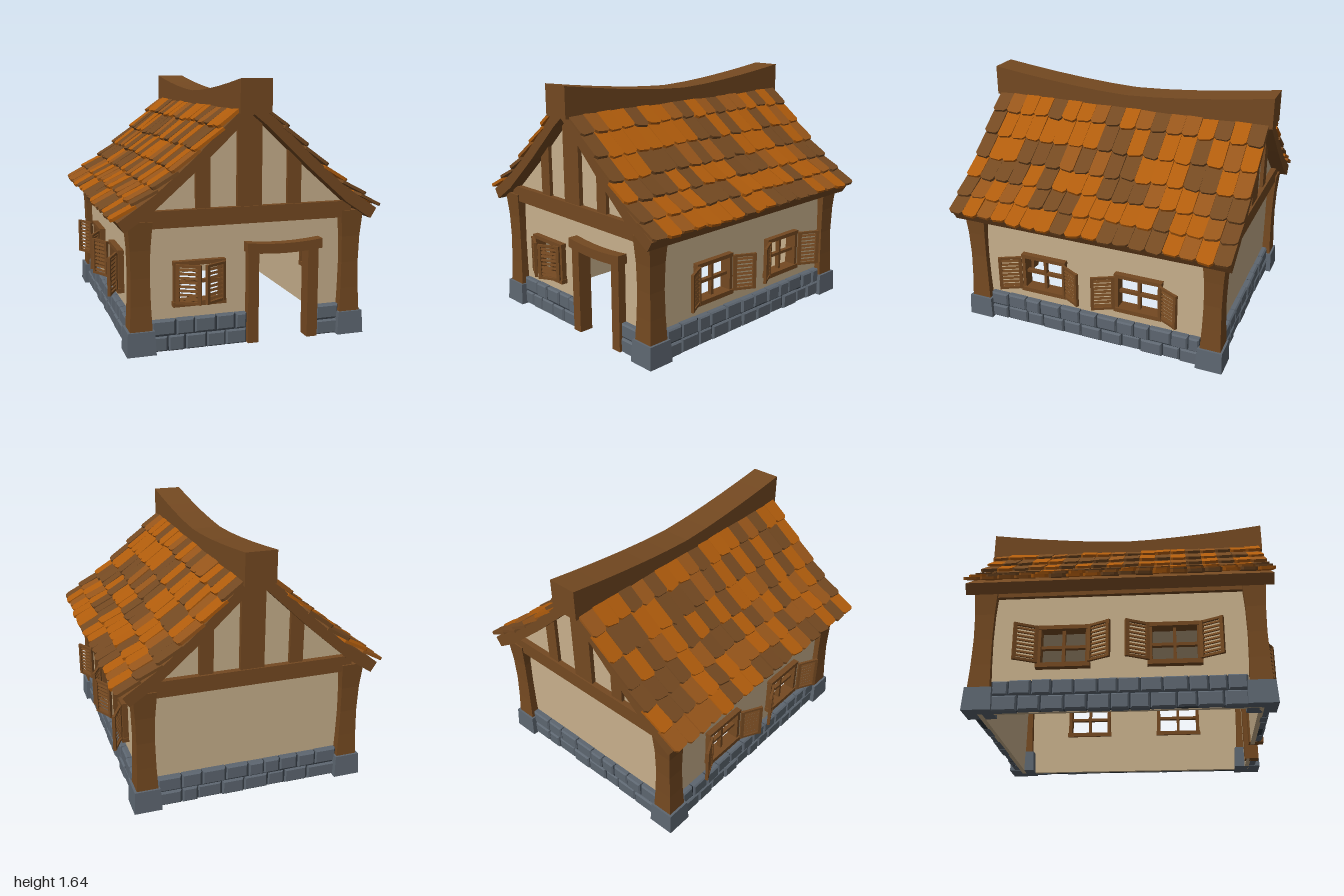
import * as THREE from 'three';
import { mergeGeometries } from 'three/addons/utils/BufferGeometryUtils.js';

const mat = (name, color) => {
  const m = new THREE.MeshStandardMaterial({ color, flatShading: true });
  m.name = name;
  return m;
};

export function createModel() {
  const wood = mat('wood', 0x744921), plaster = mat('plaster', 0xc8b08c);
  const stone = mat('stone', 0x5d6670), mortar = mat('mortar', 0x30373f);
  const tileMats = [mat('orangeTile', 0xb05c0c), mat('rustTile', 0x96551a), mat('brownTile', 0x744921)];
  const house = new THREE.Group();
  house.name = 'cottage';

  let seed = 11;
  const rand = () => (seed = (seed * 16807) % 2147483647) / 2147483647;
  const vary = (a) => (rand() - 0.5) * 2 * a;

  const add = (parent, name, geo, material, x = 0, y = 0, z = 0) => {
    const m = new THREE.Mesh(geo, material);
    m.name = name;
    m.position.set(x, y, z);
    parent.add(m);
    return m;
  };
  // Box given by its limits on each axis
  const box = (parent, name, material, [x0, x1], [y0, y1], [z0, z1]) =>
    add(parent, name, new THREE.BoxGeometry(x1 - x0, y1 - y0, z1 - z0), material,
      (x0 + x1) / 2, (y0 + y1) / 2, (z0 + z1) / 2);
  // Moves every vertex of a geometry by a rule
  const bend = (geo, rule) => {
    const p = geo.attributes.position, v = new THREE.Vector3();
    for (let i = 0; i < p.count; i++) {
      rule(v.fromBufferAttribute(p, i));
      p.setXYZ(i, v.x, v.y, v.z);
    }
    geo.computeVertexNormals();
    return geo;
  };
  const shapeOf = (pts) => new THREE.Shape(pts.map(([x, y]) => new THREE.Vector2(x, y)));
  const extrude = (shape, depth) => new THREE.ExtrudeGeometry(shape, { depth, bevelEnabled: false });
  const rectPath = (x0, x1, y0, y1) => shapeOf([[x0, y0], [x0, y1], [x1, y1], [x1, y0]]);

  // Louvred shutter, hinged on its local origin and reaching along dir
  const shutter = (parent, x, dir) => {
    const g = new THREE.Group(), L = 0.157, h = 0.122;
    g.name = 'shutter';
    const span = (a, b) => (dir > 0 ? [a, b] : [-b, -a]);
    box(g, 'shutterStile', wood, span(0, 0.022), [-h, h], [-0.01, 0.01]);
    box(g, 'shutterStile', wood, span(L - 0.022, L), [-h, h], [-0.01, 0.01]);
    for (const y of [-h, h - 0.016])
      box(g, 'shutterRail', wood, span(0.02, L - 0.02), [y, y + 0.016], [-0.008, 0.008]);
    for (let i = 0; i < 8; i++) {
      const y = -0.091 + i * 0.026;
      const slat = box(g, 'slat', wood, span(0.02, L - 0.02), [y - 0.008, y + 0.008], [-0.003, 0.003]);
      slat.rotation.x = -0.4;
    }
    g.position.set(x, 0.005, 0.05);
    g.rotation.y = -dir * 0.48;
    parent.add(g);
  };

  // Window frame with cross bars and two shutters, origin on the wall face
  const windowUnit = (parent, x, z, open) => {
    const g = new THREE.Group();
    g.name = 'window';
    g.position.set(x, 0.415, z);
    for (const s of [-1, 1]) {
      box(g, 'jamb', wood, s > 0 ? [0.138, 0.162] : [-0.162, -0.138], [-0.13, 0.13], [-0.045, 0.035]);
      shutter(g, s * 0.155, open ? s : -s);
    }
    box(g, 'sill', wood, [-0.168, 0.168], [-0.142, -0.112], [-0.045, 0.045]);
    box(g, 'header', wood, [-0.165, 0.165], [0.112, 0.138], [-0.045, 0.04]);
    box(g, 'mullion', wood, [-0.01, 0.01], [-0.12, 0.12], [-0.02, 0.01]);
    box(g, 'crossBar', wood, [-0.14, 0.14], [-0.01, 0.01], [-0.02, 0.01]);
    parent.add(g);
  };

  // Two courses of bevelled stones between a and b
  const stones = (parent, a, b, z) => {
    const geos = [];
    for (let row = 0; row < 2; row++) {
      let x = a;
      while (x < b - 0.01) {
        let w = 0.105 + rand() * 0.06;
        if (b - x - w < 0.07) w = b - x;
        const h = 0.094 + vary(0.004), d = 0.05 + vary(0.006);
        const geo = new THREE.BoxGeometry(w - 0.008, h, d, 1, 1, 2);
        bend(geo, (v) => {
          if (Math.abs(v.z) < 0.001) v.z = d / 2 - 0.01;
          else if (v.z > 0) { v.x -= Math.sign(v.x) * 0.009; v.y -= Math.sign(v.y) * 0.009; }
        });
        geo.translate(x + w / 2, 0.048 + row * 0.1, z + d / 2 - 0.008);
        geos.push(geo);
        x += w;
      }
    }
    add(parent, 'stoneCourses', mergeGeometries(geos), stone);
    box(parent, 'mortar', mortar, [a, b], [0.002, 0.19], [z, z + 0.028]);
  };

  // One wall with its openings, built facing +z and then turned
  const wall = (name, angle, half, dist, windows, open, door, runs) => {
    const g = new THREE.Group();
    g.name = name;
    const outline = [[-half, 0]];
    if (door) outline.push([0.05, 0], [0.05, 0.59], [0.4, 0.59], [0.4, 0]);
    outline.push([half, 0], [half, 0.8], [-half, 0.8]);
    const s = shapeOf(outline);
    for (const x of windows) {
      s.holes.push(rectPath(x - 0.145, x + 0.145, 0.29, 0.535));
      windowUnit(g, x, dist, open);
    }
    add(g, 'wallPanel', extrude(s, 0.03), plaster, 0, 0, dist - 0.03);
    for (const [a, b] of runs) stones(g, a, b, dist);
    g.rotation.y = angle;
    house.add(g);
    return g;
  };
  const front = wall('frontWall', 0, 0.69, 0.855, [-0.315], false, true, [[-0.62, -0.01], [0.46, 0.62]]);
  wall('backWall', Math.PI, 0.69, 0.855, [], true, false, [[-0.62, 0.62]]);
  for (const s of [-1, 1])
    wall('sideWall', s * Math.PI / 2, 0.84, 0.705, [-0.342, 0.342], true, false, [[-0.77, 0.77]]);

  // Door frame with a sagging lintel
  for (const [a, b] of [[-0.008, 0.062], [0.392, 0.463]])
    box(front, 'doorJamb', wood, [a, b], [0, 0.59], [0.815, 0.91]);
  add(front, 'doorLintel', bend(new THREE.BoxGeometry(0.5, 0.062, 0.115, 6), (v) => {
    v.y += 0.016 * (v.x / 0.25) ** 2;
  }), wood, 0.23, 0.597, 0.868);

  // Corner posts, narrow in the middle, on stone feet
  for (const sx of [-1, 1]) for (const sz of [-1, 1]) {
    const widths = [0.07, 0.062, 0.058, 0.062, 0.075];
    add(house, 'cornerPost', bend(new THREE.BoxGeometry(2, 0.68, 2, 1, 4, 1), (v) => {
      const k = widths[Math.round((v.y / 0.68 + 0.5) * 4)];
      v.x *= k; v.z *= k;
    }), wood, sx * 0.686, 0.47, sz * 0.845);
    add(house, 'postFoot', bend(new THREE.BoxGeometry(0.18, 0.147, 0.18), (v) => {
      if (v.y > 0) { v.x *= 0.92; v.z *= 0.92; }
    }), stone, sx * 0.688, 0.0735, sz * 0.845);
  }

  // Ceiling and wall plates
  box(house, 'ceiling', plaster, [-0.69, 0.69], [0.795, 0.815], [-0.84, 0.84]);
  for (const s of [-1, 1])
    add(house, 'wallPlate', new THREE.BoxGeometry(0.08, 0.09, 1.7), wood, s * 0.695, 0.81, 0);

  // Gables: plaster panel, tie beam and studs
  const gableHalf = [[0.68, 0.81], [0.626, 0.885], [0.34, 1.135], [0.08, 1.38]];
  const mirrored = (pts) => [...pts, ...pts.map(([x, y]) => [-x, y]).reverse()];
  for (const s of [-1, 1]) {
    const g = new THREE.Group();
    g.name = 'gable';
    add(g, 'gablePanel', extrude(shapeOf(mirrored(gableHalf)), 0.03), plaster, 0, 0, 0.84);
    add(g, 'tieBeam', new THREE.BoxGeometry(1.36, 0.105, 0.11), wood, 0, 0.818, 0.855);
    box(g, 'centreStud', wood, [-0.078, 0.078], [0.86, 1.43], [0.84, 0.9]);
    for (const side of [-1, 1])
      add(g, 'stud', extrude(shapeOf([[side * 0.25, 0.86], [side * 0.34, 0.86],
        [side * 0.34, 1.13], [side * 0.25, 1.215]]), 0.05), wood, 0, 0, 0.845);
    g.rotation.y = s > 0 ? 0 : Math.PI;
    house.add(g);
  }

  // Roof frame: curved slab that shows as rafters on both gables
  const upper = [[0.83, 0.825], [0.6, 0.98], [0.385, 1.167], [0.11, 1.43]];
  const lower = [[0.08, 1.365], [0.34, 1.12], [0.626, 0.87], [0.79, 0.762]];
  const roofShape = shapeOf([...mirrored(upper), ...lower.map(([x, y]) => [-x, y]).reverse(),
    [0, 1.435], ...lower].filter(() => true));
  roofShape.curves.length = 0;
  const ring = [...upper, [0, 1.5], ...upper.map(([x, y]) => [-x, y]).reverse(),
    ...lower.map(([x, y]) => [-x, y]).reverse(), [0, 1.43], ...lower];
  add(house, 'roofFrame', extrude(shapeOf(ring), 1.93), wood, 0, 0, -0.965);

  // Sagging ridge beam
  add(house, 'ridgeBeam', bend(new THREE.BoxGeometry(0.2, 0.2, 2, 1, 1, 10), (v) => {
    v.y = v.y > 0 ? 1.545 + 0.095 * Math.abs(v.z) ** 1.5 : 1.437;
  }), wood);

  // Overlapping roof tiles with clipped lower corners
  const rows = [[0.08, 1.475], [0.215, 1.35], [0.355, 1.22], [0.49, 1.1], [0.615, 1.0], [0.745, 0.915], [0.865, 0.83]];
  const columns = 18, pitch = 1.95 / columns;
  const tileGeos = tileMats.map(() => []);
  for (const s of [-1, 1]) for (let r = 1; r < rows.length; r++) for (let c = 0; c < columns; c++) {
    const low = new THREE.Vector3(s * rows[r][0], rows[r][1], 0);
    const high = new THREE.Vector3(s * (rows[r - 1][0] - 0.013), rows[r - 1][1] - 0.016, 0);
    const up = high.clone().sub(low), len = up.length() + (r > 1 ? 0.02 : 0);
    up.normalize();
    const along = new THREE.Vector3(0, 0, -s), out = along.clone().cross(up);
    const w = pitch / 2 - 0.001, e = vary(0.009), k = vary(0.006), cut = 0.018;
    const geo = extrude(shapeOf([[-w + cut, e + k], [w - cut, e - k], [w, cut + e - k],
      [w, len], [-w, len], [-w, cut + e + k]]), 0.019 + vary(0.003));
    geo.rotateX(vary(0.025)).rotateY(vary(0.04));
    geo.applyMatrix4(new THREE.Matrix4().makeBasis(along, up, out)
      .setPosition(low.x, low.y, -0.975 + (c + 0.5) * pitch));
    const pick = rand();
    tileGeos[pick < 0.45 ? 0 : pick < 0.65 ? 1 : 2].push(geo);
  }
  tileGeos.forEach((geos, i) => add(house, 'roofTiles', mergeGeometries(geos), tileMats[i]));

  return house;
}
